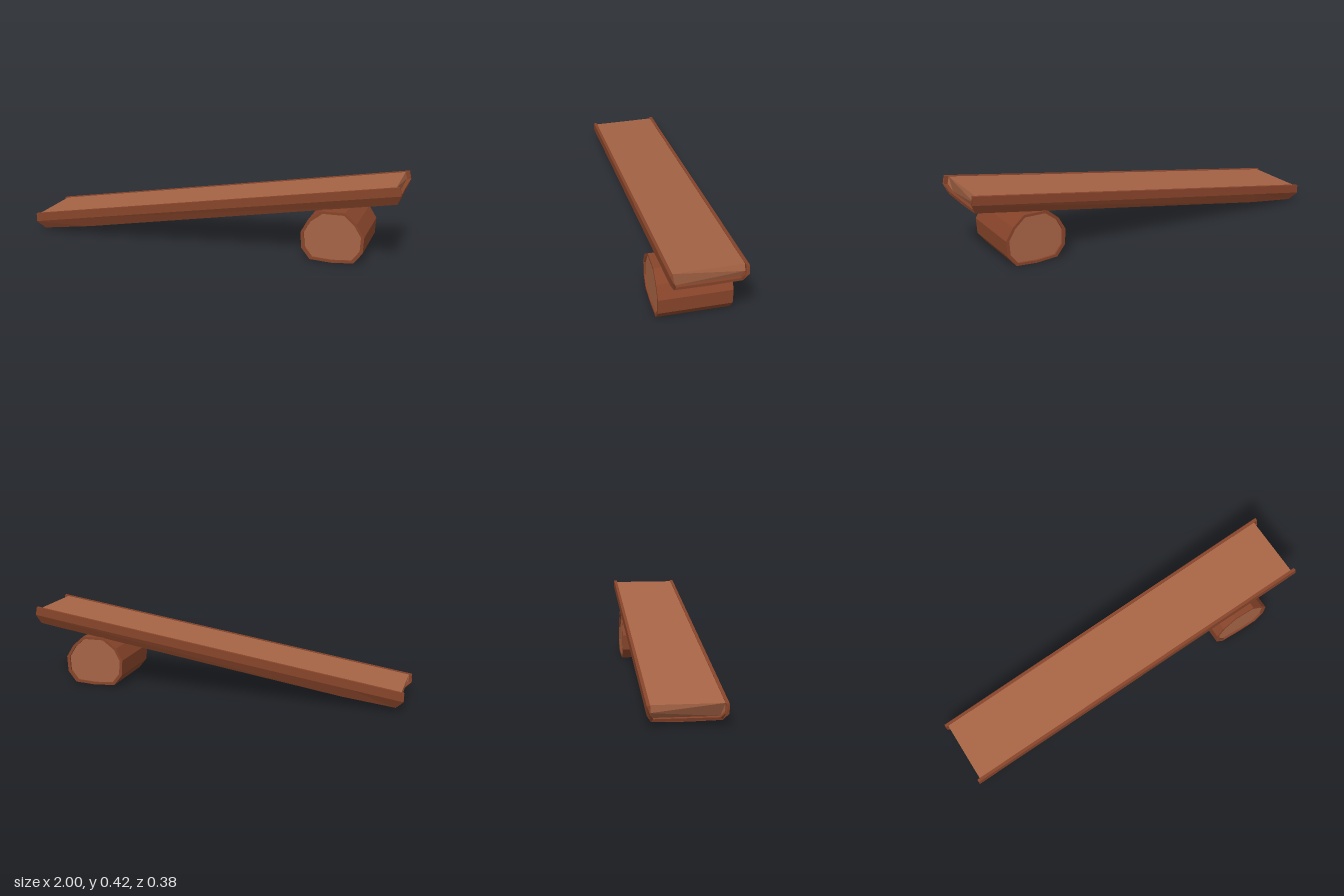
import * as THREE from 'three';

const bark = new THREE.MeshStandardMaterial({ color: 0x87442a, flatShading: true });
const wood = new THREE.MeshStandardMaterial({ color: 0xa66445, flatShading: true });

const SLOPE = 0.157, PLANK_Z = -0.007;
const topAt = x => 0.105 + SLOPE * (x + 1);

// Adds the mirrored half of a profile made of [halfWidth, depth, xLeft, xRight]
const mirrored = half => [...half, ...half.filter(p => p[0] > 0).reverse().map(p => [-p[0], ...p.slice(1)])];

// Lofts a closed profile along the sloping plank, with shaped ends
function loftPlank(profile) {
  const rings = [0, 0.14, 1].map((t, k) => profile.map(([z, depth, x0, x1]) => {
    const x = x0 + (x1 - x0) * t;
    const sag = k === 1 && depth > 0.06 ? 0.009 : 0;
    return [x, topAt(x) - depth - sag, z + PLANK_Z];
  }));
  const n = profile.length, pos = [];
  const tri = (a, b, c) => pos.push(...a, ...b, ...c);
  for (let k = 0; k < rings.length - 1; k++) {
    for (let i = 0; i < n; i++) {
      const j = (i + 1) % n, p = rings[k], q = rings[k + 1];
      tri(p[i], p[j], q[j]);
      tri(p[i], q[j], q[i]);
    }
  }
  const flat = profile.map(([z, depth]) => new THREE.Vector2(-z, -depth));
  const last = rings[rings.length - 1];
  for (const [a, b, c] of THREE.ShapeUtils.triangulateShape(flat, [])) {
    tri(last[a], last[b], last[c]);
    tri(rings[0][a], rings[0][c], rings[0][b]);
  }
  const geo = new THREE.BufferGeometry();
  geo.setAttribute('position', new THREE.Float32BufferAttribute(pos, 3));
  geo.computeVertexNormals();
  return geo;
}

function addMesh(parent, name, geometry, material) {
  const mesh = new THREE.Mesh(geometry, material);
  mesh.name = name;
  parent.add(mesh);
  return mesh;
}

function createPlank() {
  const plank = new THREE.Group();
  plank.name = 'plank';

  // U-shaped bark: outer wall, then the inner wall back to the top
  const outer = mirrored([
    [0.185, 0, -1, 0.992], [0.185, 0.045, -1, 1], [0.162, 0.091, -0.96, 0.98], [0, 0.094, -0.96, 0.98],
  ]);
  const inner = mirrored([
    [0.169, 0, -1, 0.992], [0.169, 0.043, -1, 1], [0.152, 0.076, -0.965, 0.982],
  ]).reverse();
  addMesh(plank, 'plankBark', loftPlank([...outer, ...inner]), bark);

  // Wood filling, set back from both ends
  const core = mirrored([
    [0.169, 0.003, -0.985, 0.972], [0.169, 0.039, -0.985, 0.98], [0.152, 0.076, -0.95, 0.962],
  ]);
  addMesh(plank, 'plankWood', loftPlank(core), wood);
  return plank;
}

function createLog() {
  const log = new THREE.Group();
  log.name = 'log';
  const cx = 0.667, cy = 0.138;
  const outline = [
    [0.555, 0.01], [0.667, 0.002], [0.78, 0.01], [0.825, 0.067], [0.83, 0.15], [0.79, 0.215],
    [0.73, 0.268], [0.61, 0.268], [0.54, 0.215], [0.505, 0.15], [0.51, 0.067],
  ];
  const points = s => outline.map(([x, y]) => new THREE.Vector2(cx + (x - cx) * s, cy + (y - cy) * s));
  const extrude = (shape, depth) => new THREE.ExtrudeGeometry(shape, { depth, bevelEnabled: false });

  // Bark tube
  const ring = new THREE.Shape(points(1));
  ring.holes.push(new THREE.Path(points(0.9)));
  addMesh(log, 'logBark', extrude(ring, 0.37), bark).position.z = -0.177;

  // Wood inside, slightly recessed
  addMesh(log, 'logWood', extrude(new THREE.Shape(points(0.9)), 0.35), wood).position.z = -0.167;
  return log;
}

export function createModel() {
  const model = new THREE.Group();
  model.name = 'logRamp';
  model.add(createPlank(), createLog());
  return model;
}
